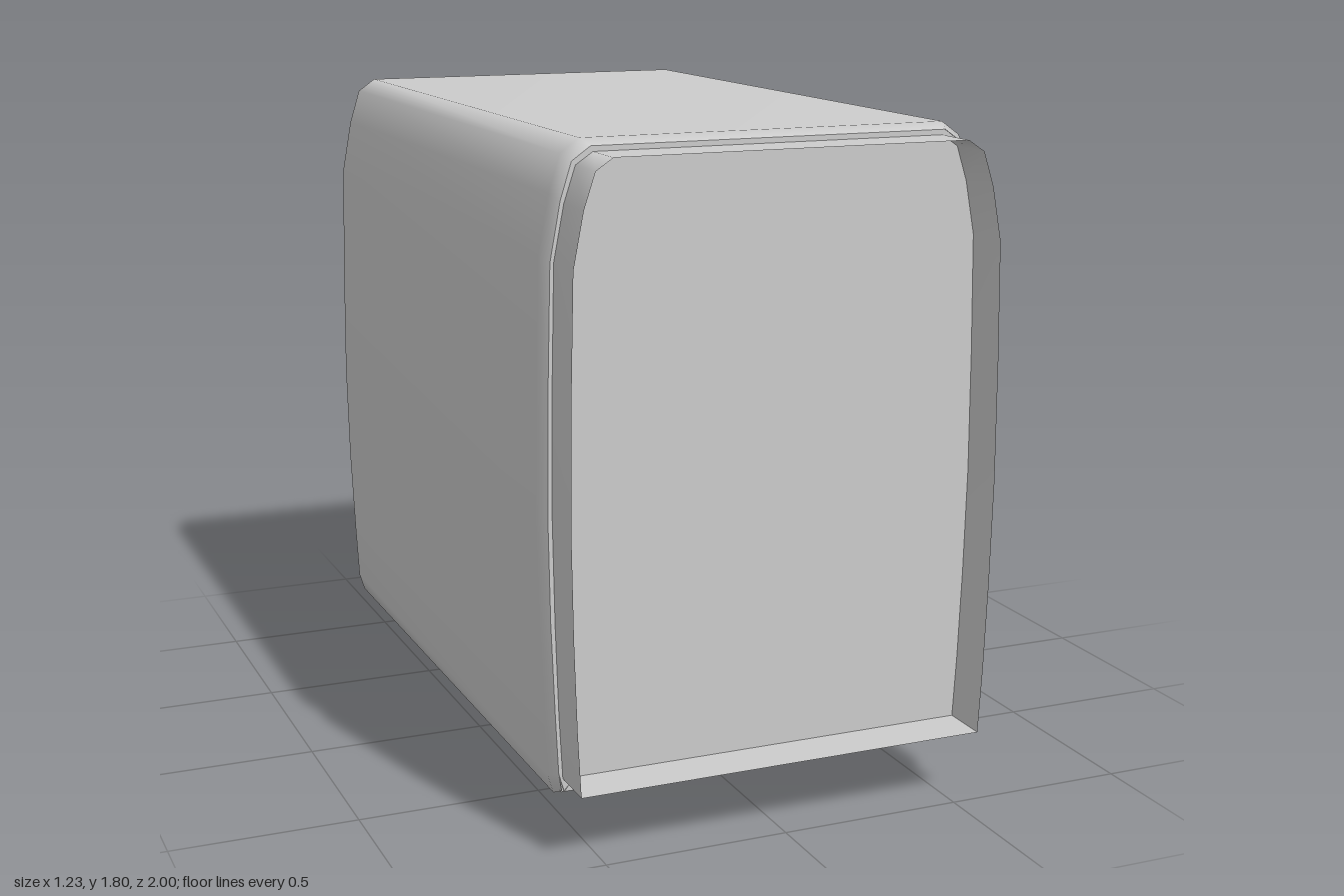
import * as THREE from 'three';

const grey = new THREE.MeshStandardMaterial({ color: 0xcccccc, side: THREE.DoubleSide });
grey.name = 'light grey';

// Right half of the casing cross-section, bottom to top.
const casingHalf = [
  [0.565, 0.155], [0.577, 0.14], [0.592, 0.19], [0.6, 0.35], [0.61, 0.6], [0.615, 0.88],
  [0.611, 1.2], [0.603, 1.52], [0.575, 1.67], [0.545, 1.765], [0.495, 1.8],
];
// Right half of the front collar.
const collarHalf = [
  [0.565, 0.19], [0.574, 0.36], [0.582, 0.6], [0.587, 0.88], [0.584, 1.2],
  [0.577, 1.51], [0.55, 1.65], [0.52, 1.74], [0.475, 1.77],
];

const mirror = (half) => [...half, ...half.map(([x, y]) => [-x, y]).reverse()];

// Shrinks an outline by about d on every side.
const inset = (pts, d) => pts.map(([x, y]) => [x * (1 - d / 0.615), 0.97 + (y - 0.97) * (1 - d / 0.83)]);

// Skins a row of cross-sections, left open along the bottom.
function skin(sections) {
  const n = sections[0].pts.length;
  const positions = [], index = [];
  for (const { pts, z } of sections) for (const [x, y] of pts) positions.push(x, y, z);
  for (let i = 0; i < sections.length - 1; i++) {
    for (let j = 0; j < n - 1; j++) {
      const a = i * n + j, b = a + 1, c = a + n, d = b + n;
      index.push(a, b, d, a, d, c);
    }
  }
  const geo = new THREE.BufferGeometry();
  geo.setAttribute('position', new THREE.Float32BufferAttribute(positions, 3));
  geo.setIndex(index);
  geo.computeVertexNormals();
  return geo;
}

const outline = (pts) => new THREE.Shape(pts.map(([x, y]) => new THREE.Vector2(x, y)));

export function createModel() {
  const model = new THREE.Group();
  const add = (name, geo, x = 0, y = 0, z = 0) => {
    const mesh = new THREE.Mesh(geo, grey);
    mesh.name = name;
    mesh.position.set(x, y, z);
    model.add(mesh);
    return mesh;
  };

  // Wrapped casing with softened front and back edges
  const full = mirror(casingHalf);
  const end = inset(full, 0.016);
  add('casing', skin([
    { pts: end, z: -1 }, { pts: full, z: -0.96 }, { pts: full, z: 0.83 }, { pts: end, z: 0.87 },
  ]));

  // Flat end panels and floor
  const panel = inset(mirror(casingHalf.slice(2)), 0.016);
  panel.unshift([0.568, 0.155]);
  panel.push([-0.568, 0.155]);
  add('frontPanel', new THREE.ShapeGeometry(outline(panel)), 0, 0, 0.868);
  add('backPanel', new THREE.ShapeGeometry(outline(panel)), 0, 0, 1).rotation.y = Math.PI;
  model.getObjectByName('backPanel').position.z = -1;
  const floor = add('floor', new THREE.PlaneGeometry(1.14, 1.87), 0, 0.155, -0.065);
  floor.rotation.x = Math.PI / 2;

  // Thin open collar around the front panel
  const collar = mirror(collarHalf);
  add('frontCollar', skin([{ pts: collar, z: 0.868 }, { pts: collar, z: 1 }]));
  add('collarSill', new THREE.PlaneGeometry(1.13, 0.132), 0, 0.19, 0.934).rotation.x = -Math.PI / 2;

  // Foot profile, drawn along z and extruded across x
  const footShape = outline([
    [-0.147, 0.155], [-0.147, 0.14], [-0.115, 0.055], [0, 0], [0.115, 0.055], [0.147, 0.14], [0.147, 0.155],
  ]);
  const footGeo = new THREE.ExtrudeGeometry(footShape, { depth: 0.05, bevelEnabled: false });
  footGeo.translate(0, 0, -0.025);
  footGeo.rotateY(Math.PI / 2);

  // Rails under the floor, each with two feet
  for (const [side, s] of [['left', 1], ['right', -1]]) {
    add(side + 'Rail', new THREE.BoxGeometry(0.105, 0.02, 1.26), s * 0.432, 0.145, -0.065);
    add(side + 'FrontFoot', footGeo, s * 0.4, 0, 0.418);
    add(side + 'BackFoot', footGeo, s * 0.4, 0, -0.547);
  }
  return model;
}
